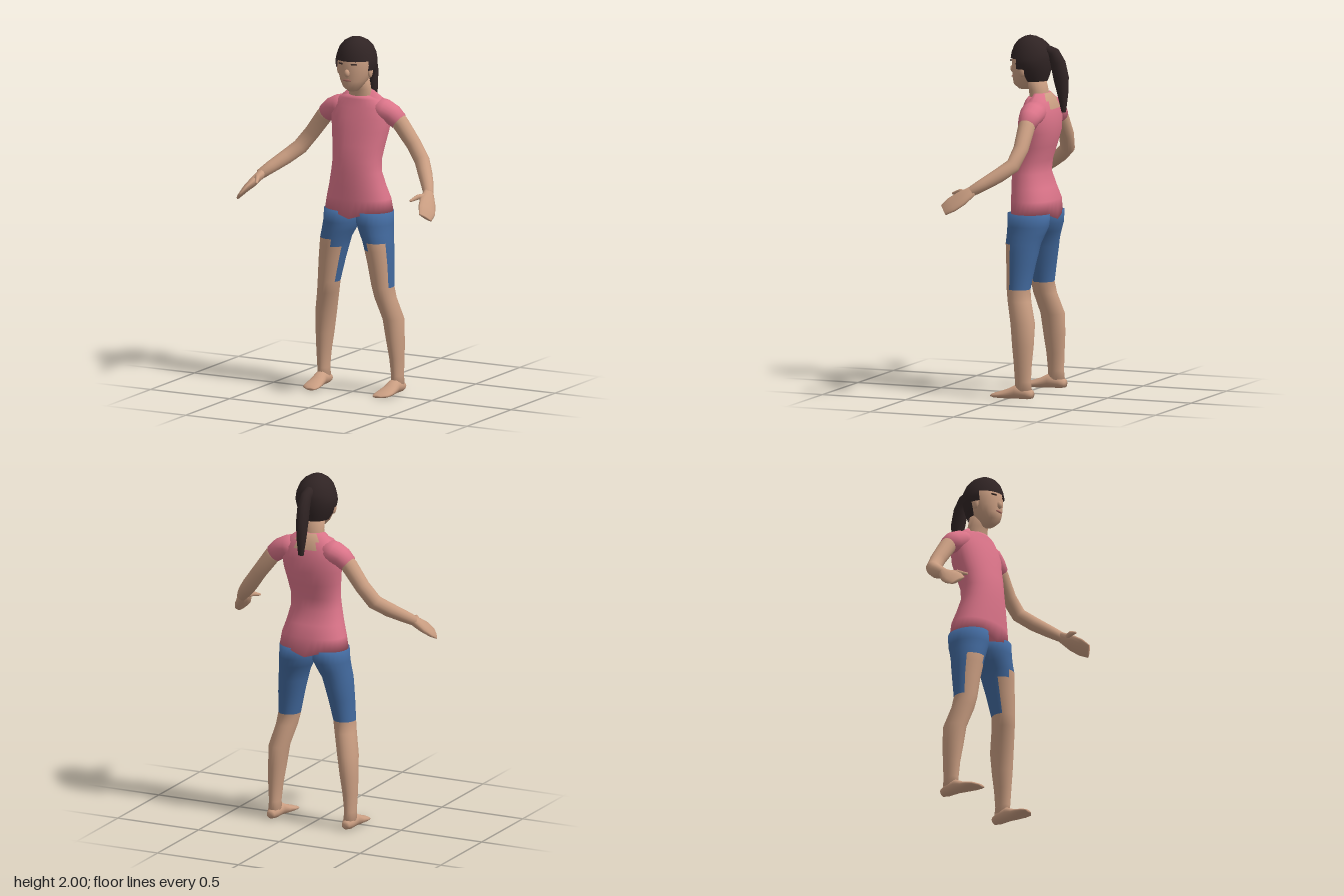
import * as THREE from 'three';

const mat = (name, color, side = THREE.FrontSide) => {
  const m = new THREE.MeshStandardMaterial({ color, side });
  m.name = name;
  return m;
};
const V = (x, y, z) => new THREE.Vector3(x, y, z);

// Skins a tube over sections [x, y, z, radiusU, radiusV]. u follows ref; axis fixes the tangent.
// rule(centroid) picks a material index for each quad, or -1 to leave it open.
function loft(sections, { n = 20, ref = V(1, 0, 0), axis = null, power = 1, rule = () => 0, warp = null } = {}) {
  const pos = [], lists = [[], []], last = sections.length - 1;
  const centre = i => V(...sections[i].slice(0, 3));
  const bend = c => Math.sign(c) * Math.abs(c) ** power;
  sections.forEach(([, , , ru, rv], i) => {
    const t = axis ? axis.clone() : centre(Math.min(i + 1, last)).sub(centre(Math.max(i - 1, 0))).normalize();
    const u = ref.clone().addScaledVector(t, -t.dot(ref)).normalize();
    const v = t.clone().cross(u);
    for (let j = 0; j < n; j++) {
      const a = (j / n) * Math.PI * 2;
      const p = centre(i).addScaledVector(u, ru * bend(Math.cos(a))).addScaledVector(v, rv * bend(Math.sin(a)));
      if (warp) warp(p, i, last);
      pos.push(p.x, p.y, p.z);
    }
  });
  const at = k => V(pos[k * 3], pos[k * 3 + 1], pos[k * 3 + 2]);
  for (let i = 0; i < last; i++) for (let j = 0; j < n; j++) {
    const a = i * n + j, b = i * n + (j + 1) % n, c = b + n, d = a + n;
    const k = rule(at(a).add(at(b)).add(at(c)).add(at(d)).multiplyScalar(0.25));
    if (k >= 0) lists[k].push(a, b, c, a, c, d);
  }
  // End caps
  [0, last].forEach(i => {
    const hub = pos.length / 3, c = centre(i);
    const k = rule(c);
    pos.push(c.x, c.y, c.z);
    if (k < 0) return;
    for (let j = 0; j < n; j++) {
      const a = i * n + j, b = i * n + (j + 1) % n;
      lists[k].push(...(i ? [hub, a, b] : [hub, b, a]));
    }
  });
  const g = new THREE.BufferGeometry();
  g.setAttribute('position', new THREE.Float32BufferAttribute(pos, 3));
  g.setIndex(lists.flat());
  g.addGroup(0, lists[0].length, 0);
  g.addGroup(lists[0].length, lists[1].length, 1);
  g.computeVertexNormals();
  return g;
}

export function createModel() {
  const model = new THREE.Group();
  model.name = 'figure';
  const skin = mat('skin', 0xc99d81), shirt = mat('shirt pink', 0xdb7489), shorts = mat('shorts blue', 0x41689c);
  const hair = mat('hair dark brown', 0x302424, THREE.DoubleSide);
  const lip = mat('lip', 0xa86a60), eyeDark = mat('eye dark', 0x3a2a26);
  const add = (name, geometry, ...mats) => {
    const m = new THREE.Mesh(geometry, mats.length > 1 ? mats : mats[0]);
    m.name = name;
    model.add(m);
    return m;
  };
  const blob = (name, m, x, y, z, sx, sy, sz) => {
    const e = add(name, new THREE.SphereGeometry(1, 14, 10), m);
    e.position.set(x, y, z);
    e.scale.set(sx, sy, sz);
    return e;
  };
  const up = V(0, 1, 0);

  // Shirt body: dipped hem, low front collar and an open patch at the nape
  add('shirt', loft([
    [0, 1.02, -0.074, 0.2, 0.125], [0, 1.09, -0.072, 0.187, 0.124], [0, 1.16, -0.058, 0.166, 0.112],
    [0, 1.24, -0.045, 0.148, 0.097], [0, 1.31, -0.052, 0.142, 0.1], [0, 1.39, -0.07, 0.153, 0.107],
    [0, 1.47, -0.09, 0.168, 0.108], [0, 1.54, -0.097, 0.178, 0.102], [0, 1.6, -0.104, 0.17, 0.088],
    [0, 1.645, -0.1, 0.13, 0.074], [0, 1.685, -0.09, 0.078, 0.058],
  ], {
    n: 32, axis: up, power: 0.9,
    rule: p => (p.y > 1.6 && p.z < -0.12 && Math.abs(p.x) < 0.065 ? 1 : 0),
    warp: (p, i, last) => {
      if (i === 0) p.y -= 0.038 * Math.max(0, 1 - Math.abs(p.x) / 0.12);
      if (i === last && p.z > -0.08) p.y -= 0.025;
    },
  }), shirt, skin);
  add('neck', loft([
    [0, 1.58, -0.1, 0.06, 0.05], [0, 1.66, -0.09, 0.068, 0.054], [0, 1.7, -0.086, 0.063, 0.052], [0, 1.77, -0.065, 0.06, 0.058],
  ], { axis: up }), skin);

  for (const s of [1, -1]) {
    const side = s > 0 ? 'left' : 'right';
    const flip = rows => rows.map(([x, ...rest]) => [s * x, ...rest]);

    // Leg with knee-length shorts that are cut short at the front
    add(side + 'Leg', loft(flip([
      [0.1, 1.02, -0.07, 0.1, 0.122], [0.104, 0.95, -0.067, 0.1, 0.118], [0.118, 0.9, -0.058, 0.092, 0.108],
      [0.133, 0.855, -0.05, 0.084, 0.1], [0.141, 0.81, -0.048, 0.08, 0.094], [0.154, 0.73, -0.044, 0.073, 0.082],
      [0.17, 0.605, -0.037, 0.062, 0.067], [0.181, 0.54, -0.047, 0.06, 0.067], [0.212, 0.42, -0.08, 0.057, 0.07],
      [0.222, 0.3, -0.085, 0.049, 0.062], [0.23, 0.2, -0.088, 0.04, 0.052], [0.233, 0.1, -0.09, 0.032, 0.046],
      [0.232, 0.04, -0.093, 0.035, 0.05],
    ]), {
      n: 24, ref: V(s, 0, 0), axis: V(0, -1, 0),
      rule: p => (p.y > 0.855 || (p.y > 0.605 && p.z < -0.005) || (p.y > 0.81 && s * p.x < 0.11) ? 0 : 1),
    }), shorts, skin);

    // Foot
    add(side + 'Foot', loft(flip([
      [0.232, 0.03, -0.148, 0.024, 0.022], [0.232, 0.036, -0.115, 0.036, 0.034], [0.231, 0.042, -0.05, 0.039, 0.04],
      [0.229, 0.028, 0, 0.045, 0.028], [0.226, 0.02, 0.045, 0.051, 0.02], [0.222, 0.015, 0.08, 0.048, 0.014],
      [0.21, 0.011, 0.105, 0.027, 0.008],
    ]), { axis: V(0, 0, 1), warp: p => { p.y = Math.max(p.y, 0); } }), skin);

    // Sleeve, arm, hand and thumb
    const fore = V(0, 0, 1);
    add(side + 'Sleeve', loft(flip([
      [0.08, 1.59, -0.105, 0.072, 0.066], [0.145, 1.58, -0.108, 0.07, 0.064],
      [0.19, 1.562, -0.11, 0.06, 0.058], [0.23, 1.528, -0.112, 0.051, 0.051],
    ]), { ref: fore }), shirt);
    add(side + 'Arm', loft(flip([
      [0.2, 1.56, -0.11, 0.044, 0.044], [0.24, 1.516, -0.113, 0.047, 0.047], [0.32, 1.41, -0.115, 0.042, 0.043],
      [0.385, 1.325, -0.095, 0.04, 0.044], [0.44, 1.272, -0.03, 0.039, 0.041], [0.49, 1.228, 0.035, 0.034, 0.036],
      [0.532, 1.188, 0.095, 0.028, 0.029],
    ]), { n: 16, ref: fore }), skin);
    add(side + 'Hand', loft(flip([
      [0.525, 1.195, 0.085, 0.029, 0.026], [0.552, 1.15, 0.145, 0.051, 0.024],
      [0.574, 1.118, 0.19, 0.056, 0.018], [0.588, 1.086, 0.235, 0.043, 0.01],
    ]), { n: 14, ref: V(-0.055 * s, 0.045, 0.065) }), skin);
    add(side + 'Thumb', loft(flip([
      [0.54, 1.178, 0.115, 0.02, 0.02], [0.507, 1.182, 0.172, 0.015, 0.014], [0.486, 1.166, 0.222, 0.007, 0.007],
    ]), { n: 10, ref: up }), skin);

    // Ear, eye
    blob(side + 'Ear', skin, s * 0.097, 1.81, -0.025, 0.012, 0.032, 0.02);
    blob(side + 'Eye', eyeDark, s * 0.042, 1.86, 0.063, 0.019, 0.005, 0.005).rotation.y = s * 0.4;
  }

  // Head, nose and mouth
  add('head', loft([
    [0, 1.7, -0.005, 0.028, 0.035], [0, 1.725, 0, 0.053, 0.06], [0, 1.76, -0.017, 0.076, 0.082],
    [0, 1.8, -0.03, 0.092, 0.097], [0, 1.85, -0.037, 0.101, 0.105], [0, 1.9, -0.042, 0.098, 0.102],
    [0, 1.95, -0.042, 0.07, 0.075], [0, 1.97, -0.042, 0.035, 0.035],
  ], { n: 24, axis: up }), skin);
  blob('nose', skin, 0, 1.808, 0.067, 0.016, 0.022, 0.017);
  blob('mouth', lip, 0, 1.768, 0.066, 0.027, 0.006, 0.005);

  // Hair shell, open over the face
  add('hair', loft([
    [0, 1.75, -0.05, 0.078, 0.085], [0, 1.785, -0.042, 0.099, 0.105], [0, 1.82, -0.042, 0.11, 0.114],
    [0, 1.85, -0.043, 0.117, 0.117], [0, 1.875, -0.044, 0.115, 0.117], [0, 1.905, -0.046, 0.108, 0.115],
    [0, 1.945, -0.044, 0.092, 0.098], [0, 1.975, -0.041, 0.066, 0.07], [0, 1.993, -0.037, 0.034, 0.036],
    [0, 2, -0.035, 0.006, 0.006],
  ], {
    n: 28, axis: up,
    rule: p => (p.y > 1.875 || (p.y > 1.83 && p.z < 0) || (p.y > 1.755 && p.z < -0.045) ? 0 : -1),
  }), hair);
  add('ponytail', loft([
    [0, 1.925, -0.13, 0.03, 0.028], [0, 1.905, -0.175, 0.032, 0.036], [0, 1.85, -0.202, 0.033, 0.044],
    [0, 1.77, -0.22, 0.032, 0.045], [0, 1.68, -0.23, 0.027, 0.031], [0, 1.58, -0.236, 0.016, 0.012],
  ], { n: 14 }), hair);

  return model;
}
